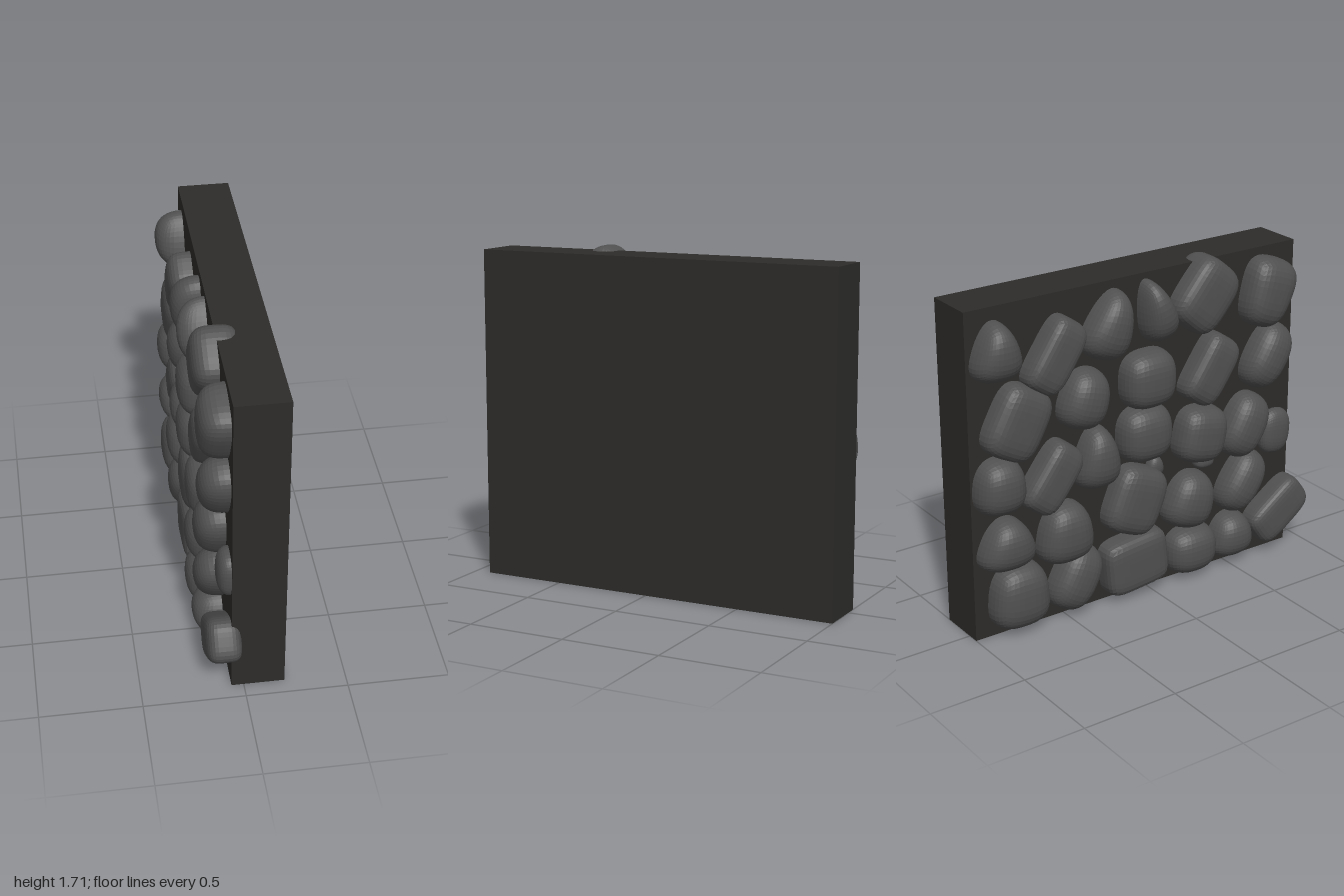
import * as THREE from 'three';

const slabMaterial = new THREE.MeshStandardMaterial({ color: 0x2d2c2a });
const stoneMaterial = new THREE.MeshStandardMaterial({ color: 0x505050, flatShading: true });

const FACE_X = -0.06; // slab face that carries the stones

// A rounded boulder: superellipsoid with half sizes, narrowing upward by taper.
// power 2 is round, higher is blockier.
function stoneGeometry(depth, halfWidth, halfHeight, taper, power) {
  const geometry = new THREE.BoxGeometry(2, 2, 2, 10, 10, 10);
  const p = geometry.attributes.position;
  const v = new THREE.Vector3();
  for (let i = 0; i < p.count; i++) {
    v.fromBufferAttribute(p, i).normalize();
    const norm = Math.abs(v.x) ** power + Math.abs(v.y) ** power + Math.abs(v.z) ** power;
    v.multiplyScalar(norm ** (-1 / power));
    const narrow = 1 - taper * v.y;
    p.setXYZ(i, v.x * depth, v.y * halfHeight, v.z * halfWidth * narrow);
  }
  geometry.computeVertexNormals();
  return geometry;
}

// Each stone: z, y, half width, half length, lean toward +z, taper, power
const topRow = [
  [-0.855, 1.47, 0.115, 0.145, 0, 0.4, 2.4],
  [-0.55, 1.39, 0.11, 0.19, 0.6, 0, 4],
  [-0.23, 1.47, 0.12, 0.175, 0.35, 0.35, 2.4],
  [0.04, 1.49, 0.09, 0.165, -0.3, 0.4, 2.3],
  [0.33, 1.51, 0.15, 0.185, 0.7, 0, 3.5],
  [0.72, 1.45, 0.14, 0.18, 0.35, -0.15, 3],
];
const upperRow = [
  [-0.76, 1.1, 0.15, 0.185, 0.5, 0, 3.5],
  [-0.38, 1.13, 0.13, 0.155, 0.3, 0.1, 2.4],
  [-0.01, 1.15, 0.15, 0.15, 0, 0, 2.8],
  [0.36, 1.12, 0.115, 0.185, 0.6, 0, 4],
  [0.73, 1.11, 0.12, 0.18, 0.55, 0, 2.5],
];
const middleRow = [
  [-0.86, 0.8, 0.13, 0.145, 0, 0.1, 2.5],
  [-0.58, 0.775, 0.11, 0.185, 0.65, 0, 4],
  [-0.31, 0.81, 0.115, 0.165, 0, 0.35, 2.4],
  [-0.03, 0.87, 0.15, 0.15, 0, 0, 2.7],
  [0.31, 0.78, 0.145, 0.15, 0.2, 0, 3],
  [0.59, 0.76, 0.125, 0.175, 0.5, 0, 2.6],
];
const lowerRow = [
  [-0.83, 0.49, 0.14, 0.135, 0, 0.35, 2.4],
  [-0.5, 0.46, 0.145, 0.16, 0, 0.2, 2.6],
  [-0.09, 0.52, 0.16, 0.18, 0.4, 0, 3.5],
  [0.25, 0.43, 0.14, 0.155, 0.3, 0.15, 2.5],
  [0.58, 0.45, 0.115, 0.175, 0.6, 0, 2.5],
];
const bottomRow = [
  [-0.77, 0.2, 0.155, 0.17, 0, 0.1, 2.8],
  [-0.45, 0.2, 0.125, 0.175, 0.5, 0, 2.6],
  [-0.1, 0.19, 0.185, 0.15, -0.1, 0, 5],
  [0.26, 0.15, 0.15, 0.13, 0, 0, 2.6],
  [0.52, 0.16, 0.125, 0.125, 0, 0.2, 2.4],
];

export function createModel() {
  const model = new THREE.Group();

  // Upright wall slab
  const slab = new THREE.Mesh(new THREE.BoxGeometry(0.26, 1.68, 1.92), slabMaterial);
  slab.name = 'wallSlab';
  slab.position.set(0.07, 0.84, -0.04);
  model.add(slab);

  function addStone(parent, name, [z, y, hw, hh, lean, taper, power], depth, x = FACE_X) {
    const stone = new THREE.Mesh(stoneGeometry(depth, hw, hh, taper, power), stoneMaterial);
    stone.name = name;
    stone.position.set(x, y, z);
    stone.rotation.x = lean;
    parent.add(stone);
  }

  // Rows of stones; blocky ones stand out a little less
  const rows = { topRow, upperRow, middleRow, lowerRow, bottomRow };
  for (const [rowName, stones] of Object.entries(rows)) {
    const row = new THREE.Group();
    row.name = rowName;
    stones.forEach((s, i) => addStone(row, `stone${i + 1}`, s, s[6] >= 3.5 ? 0.122 : 0.14));
    model.add(row);
  }

  // Overhanging corner stone, edge stone and small filler pebbles
  addStone(model, 'overhangingStone', [0.815, 0.23, 0.115, 0.185, 0.95, 0, 4], 0.088, -0.096);
  addStone(model, 'edgeStone', [0.82, 0.66, 0.095, 0.125, 0.1, 0, 2.5], 0.065);
  addStone(model, 'pebble1', [0.05, 0.66, 0.05, 0.06, 0, 0.3, 2.3], 0.05);
  addStone(model, 'pebble2', [0.36, 0.61, 0.06, 0.04, 0, 0, 2.5], 0.05);

  return model;
}
